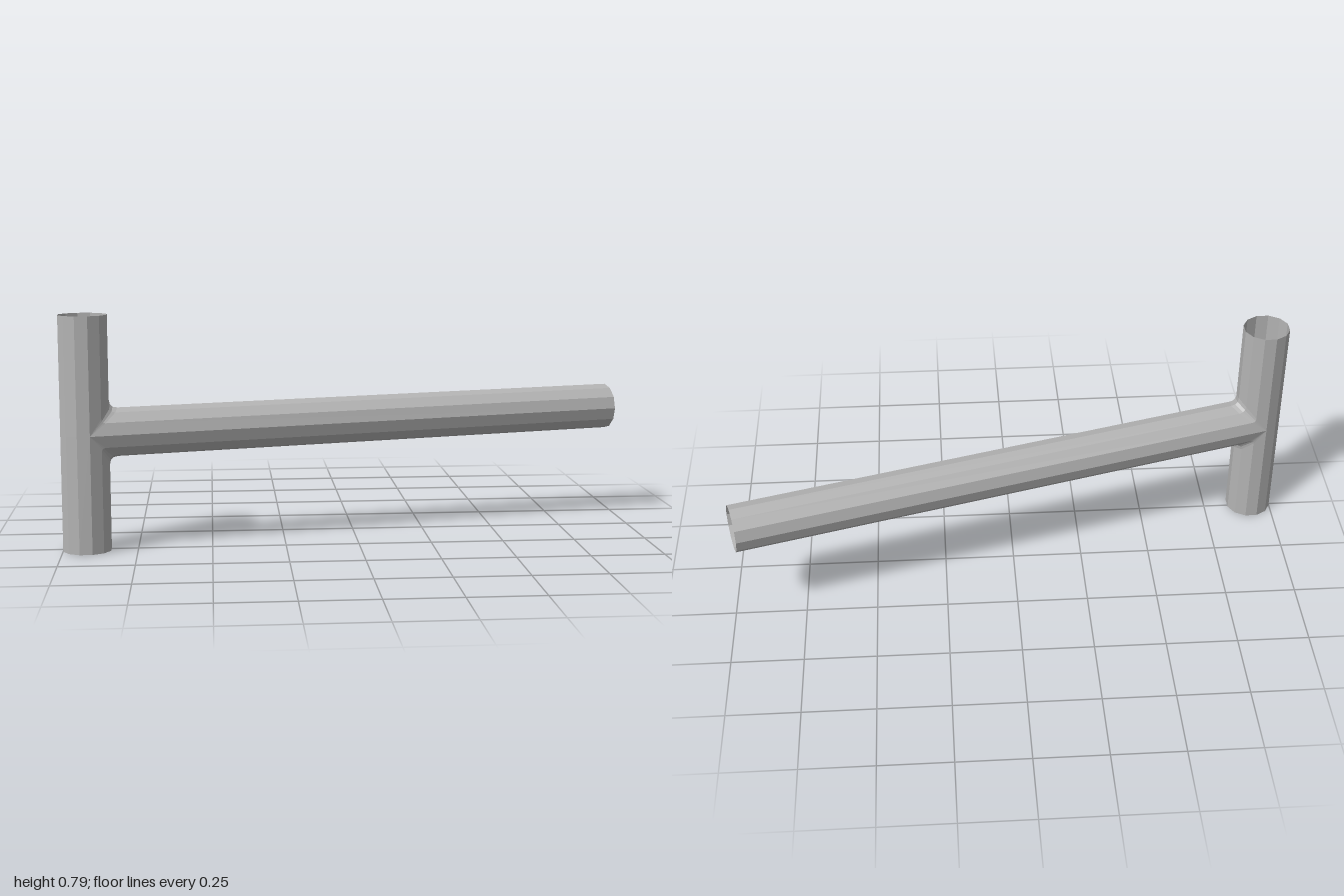
import * as THREE from 'three';

const SIDES = 12, R = 0.0825, HEIGHT = 0.794, MID = HEIGHT / 2;
const ARM_LENGTH = 1.967, FILLET = 0.028;

// One closed ring of points, given a rule from angle to position
function ring(rule) {
  return Array.from({ length: SIDES }, (_, i) => rule((i / SIDES) * Math.PI * 2));
}

// Open-ended skin stretched over successive rings
function loft(name, rings, material) {
  const positions = [];
  const triangle = (a, b, c) => {
    const area = new THREE.Triangle(a, b, c).getArea();
    if (area > 1e-9) for (const p of [a, b, c]) positions.push(p.x, p.y, p.z);
  };
  for (let k = 0; k < rings.length - 1; k++) {
    const a = rings[k], b = rings[k + 1];
    for (let i = 0; i < SIDES; i++) {
      const j = (i + 1) % SIDES;
      triangle(a[i], a[j], b[j]);
      triangle(a[i], b[j], b[i]);
    }
  }
  const geometry = new THREE.BufferGeometry();
  geometry.setAttribute('position', new THREE.Float32BufferAttribute(positions, 3));
  geometry.computeVertexNormals();
  const mesh = new THREE.Mesh(geometry, material);
  mesh.name = name;
  return mesh;
}

export function createModel() {
  const metal = new THREE.MeshStandardMaterial({ color: 0xb4b4b4, side: THREE.DoubleSide, flatShading: true });
  metal.name = 'grey metal';
  const model = new THREE.Group();
  model.name = 'teePipe';

  // Upright pipe in two halves, leaving a saddle-shaped opening for the arm
  const upright = (height) => ring((a) => new THREE.Vector3(R * Math.cos(a), height(a), -R * Math.sin(a)));
  const opening = (a) => (R + FILLET) * Math.max(0, Math.cos(a));
  model.add(loft('lowerPipe', [upright(() => 0), upright((a) => MID - opening(a))], metal));
  model.add(loft('upperPipe', [upright((a) => MID + opening(a)), upright(() => HEIGHT)], metal));

  // Curved fillet around the joint, fading out at the sides
  const filletRing = (t) => ring((a) => {
    const s = Math.sin(a), d = FILLET * Math.abs(s);
    return new THREE.Vector3(
      R * Math.abs(s) + d * t * t,
      MID + R * s + Math.sign(s) * d * (1 - t) ** 2,
      -R * Math.cos(a));
  });
  model.add(loft('jointFillet', [0, 1 / 3, 2 / 3, 1].map(filletRing), metal));

  // Long side arm with an open end
  const armEnd = ring((a) => new THREE.Vector3(ARM_LENGTH, MID + R * Math.sin(a), -R * Math.cos(a)));
  model.add(loft('sideArm', [filletRing(1), armEnd], metal));

  model.rotation.y = THREE.MathUtils.degToRad(15.54);
  model.position.set(-0.92, 0, 0.263);
  const root = new THREE.Group();
  root.add(model);
  return root;
}
